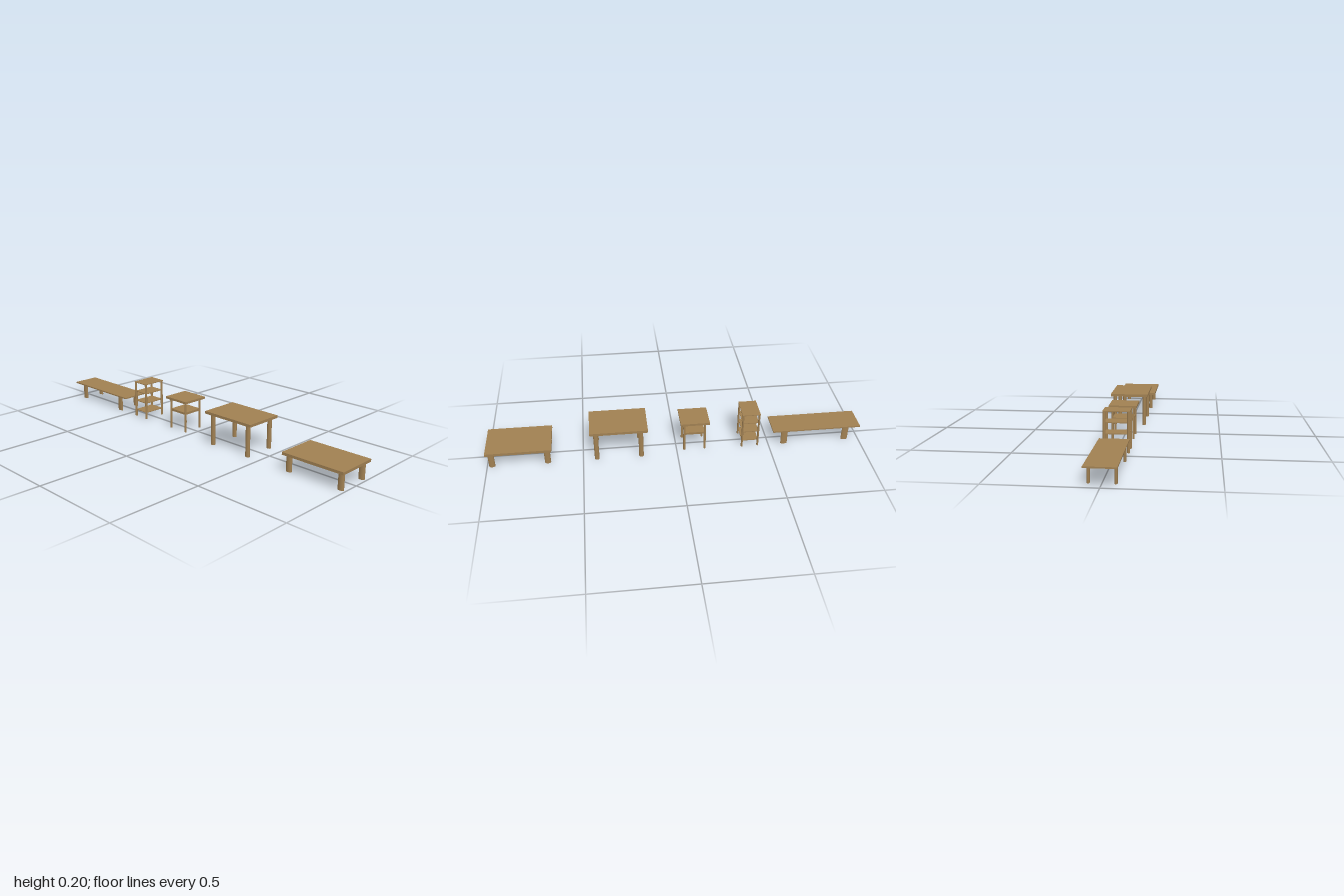
import * as THREE from 'three';

const wood = new THREE.MeshStandardMaterial({ color: 0xa08052 });
wood.name = 'wood';

// Flat board spanning +-halfX, z0..z1 and y0..y1
function board(name, halfX, z0, z1, y0, y1) {
  const mesh = new THREE.Mesh(new THREE.BoxGeometry(2 * halfX, y1 - y0, z1 - z0), wood);
  mesh.position.set(0, (y0 + y1) / 2, (z0 + z1) / 2);
  mesh.name = name;
  return mesh;
}

// Four oval legs, mirrored in x, standing at the given z positions
function legs(x, zs, widthX, widthZ, height) {
  const group = new THREE.Group();
  group.name = 'legs';
  const geometry = new THREE.CylinderGeometry(0.5, 0.5, 1, 32).scale(widthX, height, widthZ);
  for (const side of [-1, 1]) {
    for (const z of zs) {
      const leg = new THREE.Mesh(geometry, wood);
      leg.position.set(side * x, height / 2, z);
      leg.name = 'leg';
      group.add(leg);
    }
  }
  return group;
}

function furniture(name, ...parts) {
  const group = new THREE.Group();
  group.name = name;
  group.add(...parts);
  return group;
}

export function createModel() {
  const model = new THREE.Group();
  model.name = 'furnitureRow';

  // Row from front to back
  model.add(
    furniture('coffeeTable',
      board('tableTop', 0.11, 0.66, 1.0, 0.085, 0.099),
      legs(0.083, [0.974, 0.685], 0.02, 0.032, 0.086)),
    furniture('diningTable',
      board('tableTop', 0.103, 0.155, 0.458, 0.164, 0.178),
      legs(0.082, [0.427, 0.192], 0.02, 0.025, 0.165)),
    furniture('sideTable',
      board('tableTop', 0.072, -0.174, -0.02, 0.165, 0.177),
      board('shelf', 0.055, -0.151, -0.041, 0.097, 0.109),
      legs(0.054, [-0.041, -0.151], 0.011, 0.012, 0.166)),
    furniture('shelfUnit',
      board('topShelf', 0.066, -0.445, -0.349, 0.2, 0.204),
      ...[0.035, 0.09, 0.145].map((y) => board('shelf', 0.06, -0.441, -0.353, y, y + 0.004)),
      legs(0.059, [-0.354, -0.44], 0.014, 0.01, 0.201)),
    furniture('bench',
      board('seat', 0.072, -1.0, -0.521, 0.082, 0.089),
      legs(0.058, [-0.586, -0.924], 0.014, 0.036, 0.083)),
  );
  return model;
}
